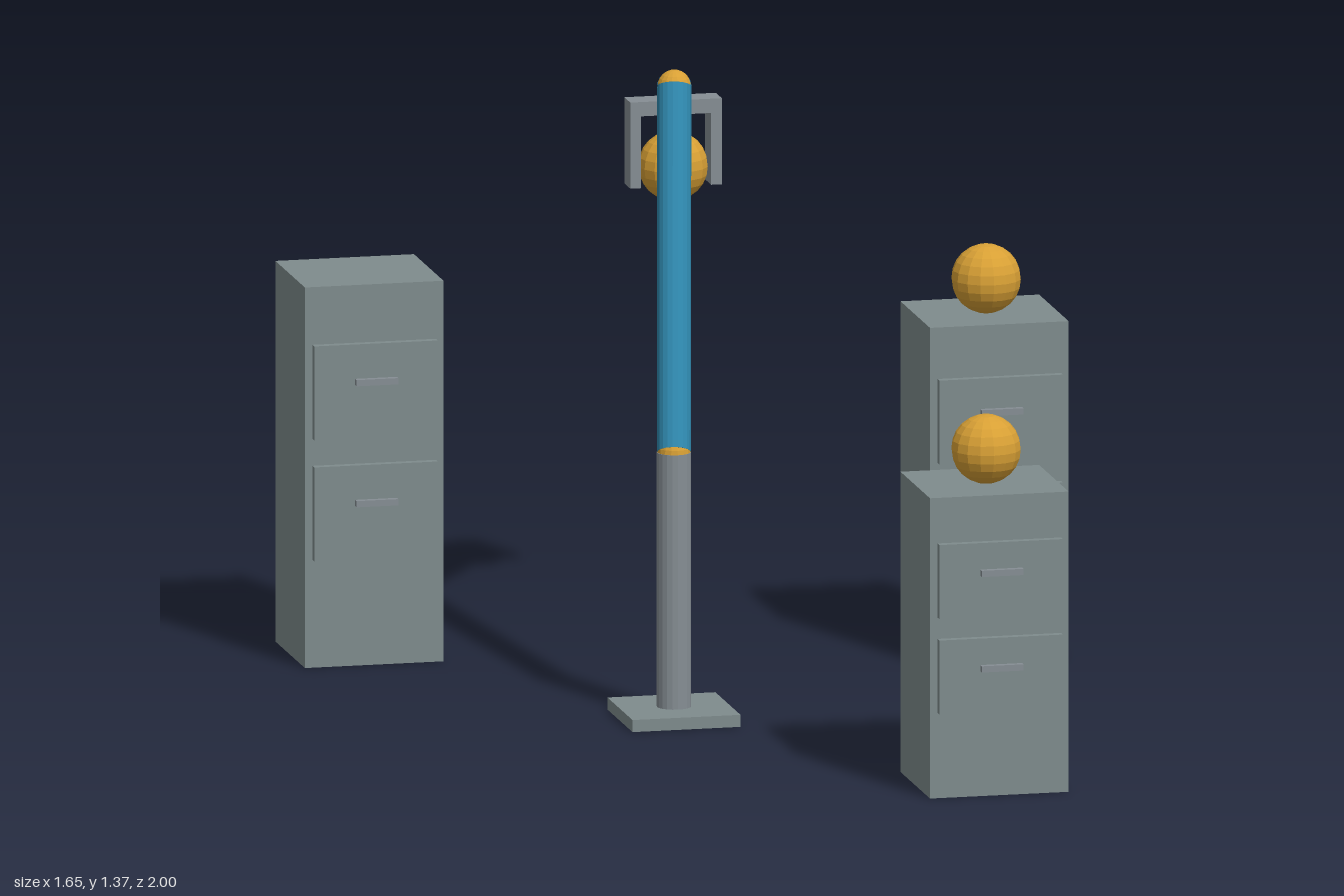
import * as THREE from 'three';

const flat = (name, color) => {
  const m = new THREE.MeshStandardMaterial({ color, flatShading: true });
  m.name = name;
  return m;
};

export function createModel() {
  const cabinetGrey = flat('cabinet grey', 0x7f8c8d);
  const metalGrey = flat('metal grey', 0x868e94);
  const armBlue = flat('arm blue', 0x2e86ab);
  const gold = flat('gold', 0xd8a035);

  const model = new THREE.Group();
  model.name = 'robotArmAndCabinets';

  const add = (parent, name, geometry, material, x, y, z) => {
    const mesh = new THREE.Mesh(geometry, material);
    mesh.name = name;
    mesh.position.set(x, y, z);
    parent.add(mesh);
    return mesh;
  };
  const box = (parent, name, w, h, d, mat, x, y, z) =>
    add(parent, name, new THREE.BoxGeometry(w, h, d), mat, x, y, z);
  const ball = (parent, name, r, p) =>
    add(parent, name, new THREE.SphereGeometry(r, 16, 12), gold, p.x, p.y, p.z);
  // Cylinder running between two points
  const rod = (parent, name, a, b, r, mat) => {
    const dir = b.clone().sub(a);
    const mid = a.clone().add(b).multiplyScalar(0.5);
    const mesh = add(parent, name, new THREE.CylinderGeometry(r, r, dir.length(), 20), mat, mid.x, mid.y, mid.z);
    mesh.quaternion.setFromUnitVectors(new THREE.Vector3(0, 1, 0), dir.normalize());
    return mesh;
  };
  const V = (x, y, z) => new THREE.Vector3(x, y, z);
  const ballRadius = 0.077;

  // Filing cabinets: two drawers each, some with a ball on top
  const W = 0.312, D = 0.286;
  const cabinets = [
    { name: 'tallCabinet', x: -0.67, z: -0.815, h: 0.853, hasBall: false },
    { name: 'frontCabinet', x: 0.355, z: 0.825, h: 0.673, hasBall: true },
    { name: 'middleCabinet', x: 0.666, z: -0.511, h: 0.761, hasBall: true },
  ];
  for (const { name, x, z, h, hasBall } of cabinets) {
    const cabinet = new THREE.Group();
    cabinet.name = name;
    cabinet.position.set(x, 0, z);
    model.add(cabinet);
    box(cabinet, 'cabinetBody', W, h, D, cabinetGrey, 0, h / 2, 0);
    for (const level of [0.407, 0.725]) {
      const y = level * h;
      box(cabinet, 'drawerFront', 0.278, 0.247 * h, 0.018, cabinetGrey, 0, y, D / 2 + 0.009);
      box(cabinet, 'drawerHandle', 0.094, 0.014, 0.014, metalGrey, 0, y + 0.025 * h, D / 2 + 0.025);
    }
    if (hasBall) ball(cabinet, 'cabinetBall', ballRadius, V(0, h + ballRadius, 0.015));
  }

  // Robot arm: base, post, two links and their joints
  const arm = new THREE.Group();
  arm.name = 'robotArm';
  model.add(arm);
  const foot = V(-0.157, 0.027, 0.022);
  const shoulder = V(-0.157, 0.597, 0.022);
  const elbow = V(-0.066, 1.331, -0.366);
  const wrist = V(0.037, 1.085, -0.81);
  const grip = V(0.061, 1.167, -0.923);
  box(arm, 'basePlate', 0.243, 0.027, 0.243, cabinetGrey, foot.x, 0.0135, foot.z);
  rod(arm, 'post', foot, shoulder, 0.038, metalGrey);
  ball(arm, 'shoulderJoint', 0.037, shoulder);
  rod(arm, 'upperArm', shoulder, elbow, 0.0375, armBlue);
  ball(arm, 'elbowJoint', 0.037, elbow);
  rod(arm, 'forearm', elbow, wrist, 0.0375, armBlue);
  rod(arm, 'wristRod', wrist, grip, 0.018, metalGrey);

  // Gripper bracket with two fingers around the held ball
  const gripper = new THREE.Group();
  gripper.name = 'gripper';
  gripper.position.copy(grip);
  arm.add(gripper);
  box(gripper, 'gripperBar', 0.206, 0.032, 0.058, metalGrey, 0, 0, 0);
  for (const side of [-1, 1])
    box(gripper, 'finger', 0.024, 0.162, 0.058, metalGrey, side * 0.091, -0.096, 0);
  ball(gripper, 'heldBall', ballRadius, V(0, -0.136, 0));

  return model;
}
